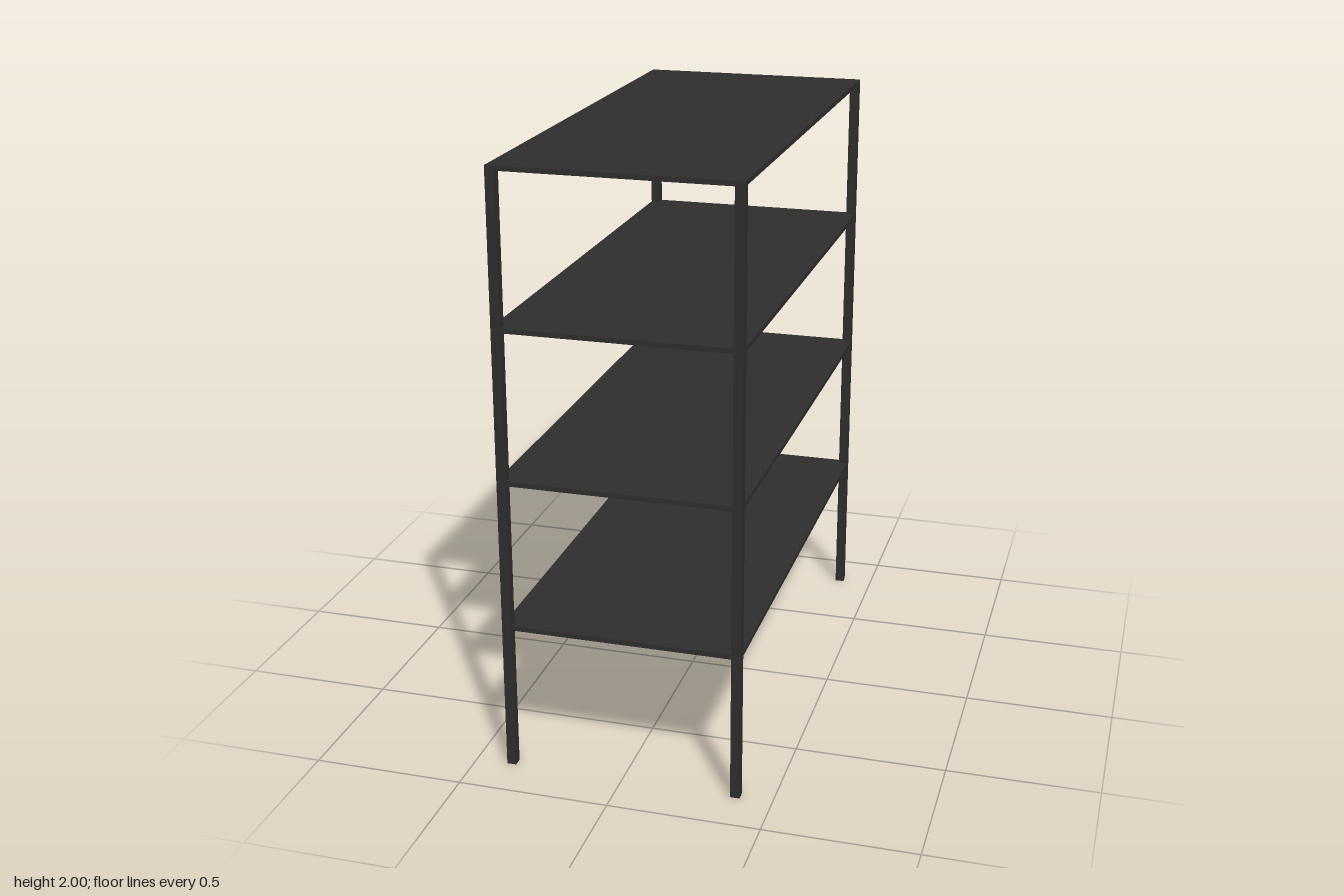
import * as THREE from 'three';

const WIDTH = 0.788, DEPTH = 1.694, HEIGHT = 2;
const POST = 0.031, THICK = 0.016;

export function createModel() {
  const group = new THREE.Group();
  group.name = 'shelvingUnit';
  const darkMetal = new THREE.MeshStandardMaterial({ color: 0x2d2d2d });
  darkMetal.name = 'dark metal';

  const addBox = (name, w, h, d, x, y, z) => {
    const mesh = new THREE.Mesh(new THREE.BoxGeometry(w, h, d), darkMetal);
    mesh.name = name;
    mesh.position.set(x, y, z);
    group.add(mesh);
  };

  // Four square corner posts, ending just under the top surface
  const postHeight = HEIGHT - 0.002;
  for (const sx of [-1, 1]) {
    for (const sz of [-1, 1]) {
      const name = (sz > 0 ? 'front' : 'back') + (sx > 0 ? 'Left' : 'Right') + 'Post';
      addBox(name, POST, postHeight, POST,
        sx * (WIDTH - POST) / 2, postHeight / 2, sz * (DEPTH - POST) / 2);
    }
  }

  // Four evenly spaced thin shelves, a hair inside the post faces
  const spacing = 0.498;
  for (let i = 0; i < 4; i++) {
    addBox(`shelf${4 - i}`, WIDTH - 0.002, THICK, DEPTH - 0.002,
      0, HEIGHT - THICK / 2 - i * spacing, 0);
  }
  return group;
}
